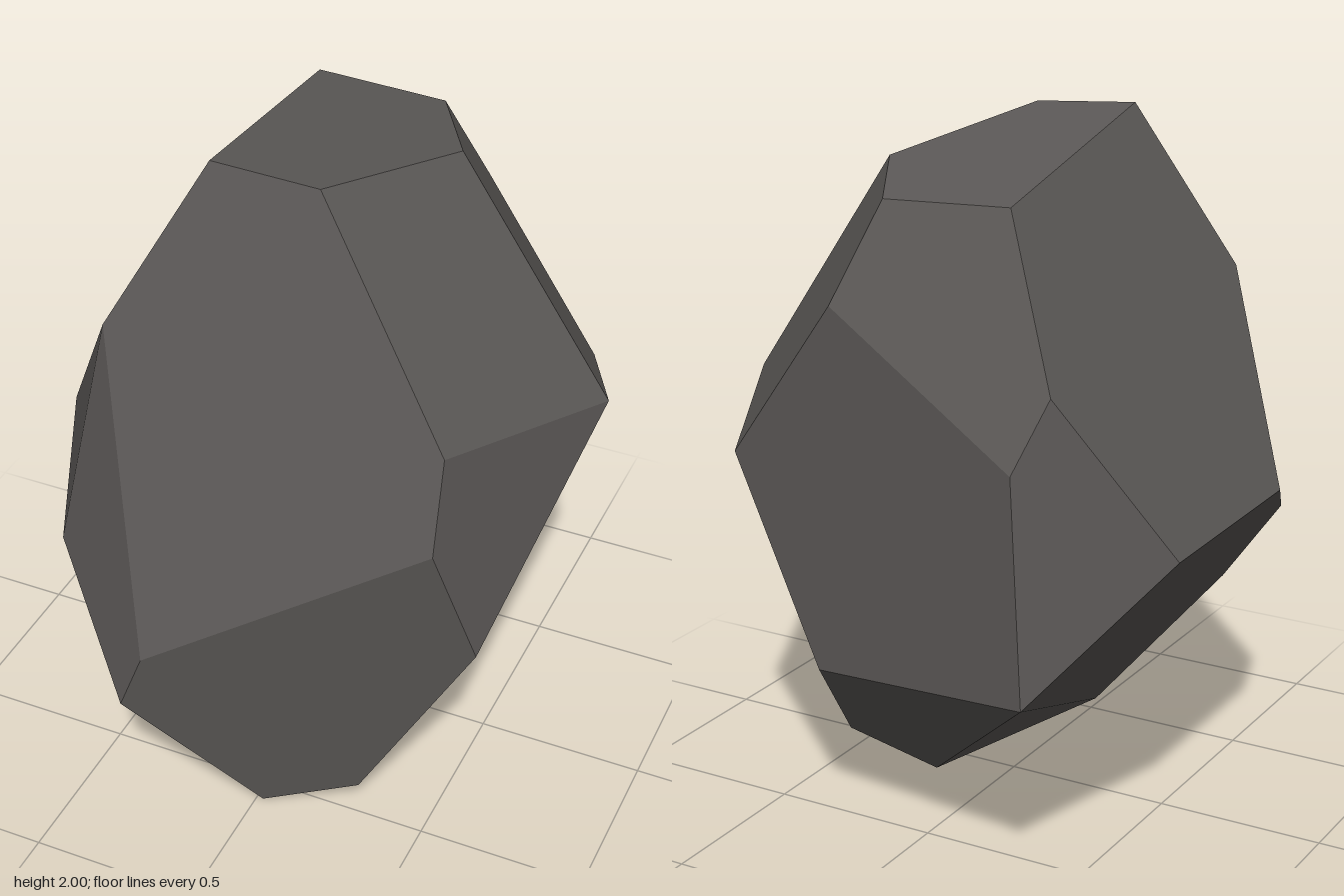
import * as THREE from 'three';

// Corner points of the cut stone, keyed by letter
const corners = {
  A: [-0.47, 0.60, -0.79], B: [-0.43, 1.235, -0.775], C: [-0.50, 1.43, -0.69],
  D: [-0.765, 0.965, -0.47], E: [-0.27, 1.857, -0.49], F: [0.12, 1.84, -0.495],
  G: [0.22, 1.56, -0.615], H: [0.265, 0.505, -0.64], I: [0.60, 1.07, -0.545],
  J: [0.77, 1.205, -0.155], K: [0.30, 1.885, -0.175], L: [0.10, 1.98, 0.315],
  M: [-0.21, 2.0, 0.33], N: [-0.77, 0.975, 0.165], O: [-0.61, 0.78, 0.555],
  P: [-0.465, 1.52, 0.495], Q: [-0.325, 0.425, 0.775], R: [-0.245, 0.627, 0.785],
  S: [0.54, 1.105, 0.577], T: [0.533, 1.37, 0.495], U: [0.633, 0.70, 0.463],
  V: [0.29, 0.085, 0.48], W: [0.02, 0, 0.57], X: [0.29, 0.245, -0.45], Y: [0.01, 0.175, -0.43],
};

// Each flat facet as a loop of corners
const facets = [
  'MLKFE', 'EFGBC', 'KJIGF',              // crown
  'MLTSRP', 'RSUVWQ', 'PRQO', 'PON',      // front
  'LKJT', 'JTSU', 'JUVXHI',               // left side
  'GIHAB', 'CBAD',                        // back
  'EMPNDC', 'WQONDAY',                    // right side
  'WVXY', 'HXYA',                         // underside
];

// Fan-triangulate every facet with one outward normal so it shades perfectly flat
function facetedGeometry() {
  const positions = [], normals = [];
  const core = new THREE.Vector3(0, 1, 0);
  for (const facet of facets) {
    let loop = [...facet].map((k) => new THREE.Vector3(...corners[k]));
    const normal = new THREE.Vector3();
    for (let i = 0; i < loop.length; i++) {
      const a = loop[i].clone().sub(core);
      const b = loop[(i + 1) % loop.length].clone().sub(core);
      normal.add(a.cross(b));
    }
    normal.normalize();
    if (normal.dot(loop[0].clone().sub(core)) < 0) {
      normal.negate();
      loop = loop.reverse();
    }
    for (let i = 1; i < loop.length - 1; i++) {
      for (const p of [loop[0], loop[i], loop[i + 1]]) {
        positions.push(p.x, p.y, p.z);
        normals.push(normal.x, normal.y, normal.z);
      }
    }
  }
  const geometry = new THREE.BufferGeometry();
  geometry.setAttribute('position', new THREE.Float32BufferAttribute(positions, 3));
  geometry.setAttribute('normal', new THREE.Float32BufferAttribute(normals, 3));
  return geometry;
}

export function createModel() {
  const group = new THREE.Group();
  group.name = 'rock';
  const stone = new THREE.MeshStandardMaterial({ color: 0x5c5957 });
  stone.name = 'dark grey stone';
  const body = new THREE.Mesh(facetedGeometry(), stone);
  body.name = 'rockBody';
  group.add(body);
  return group;
}
